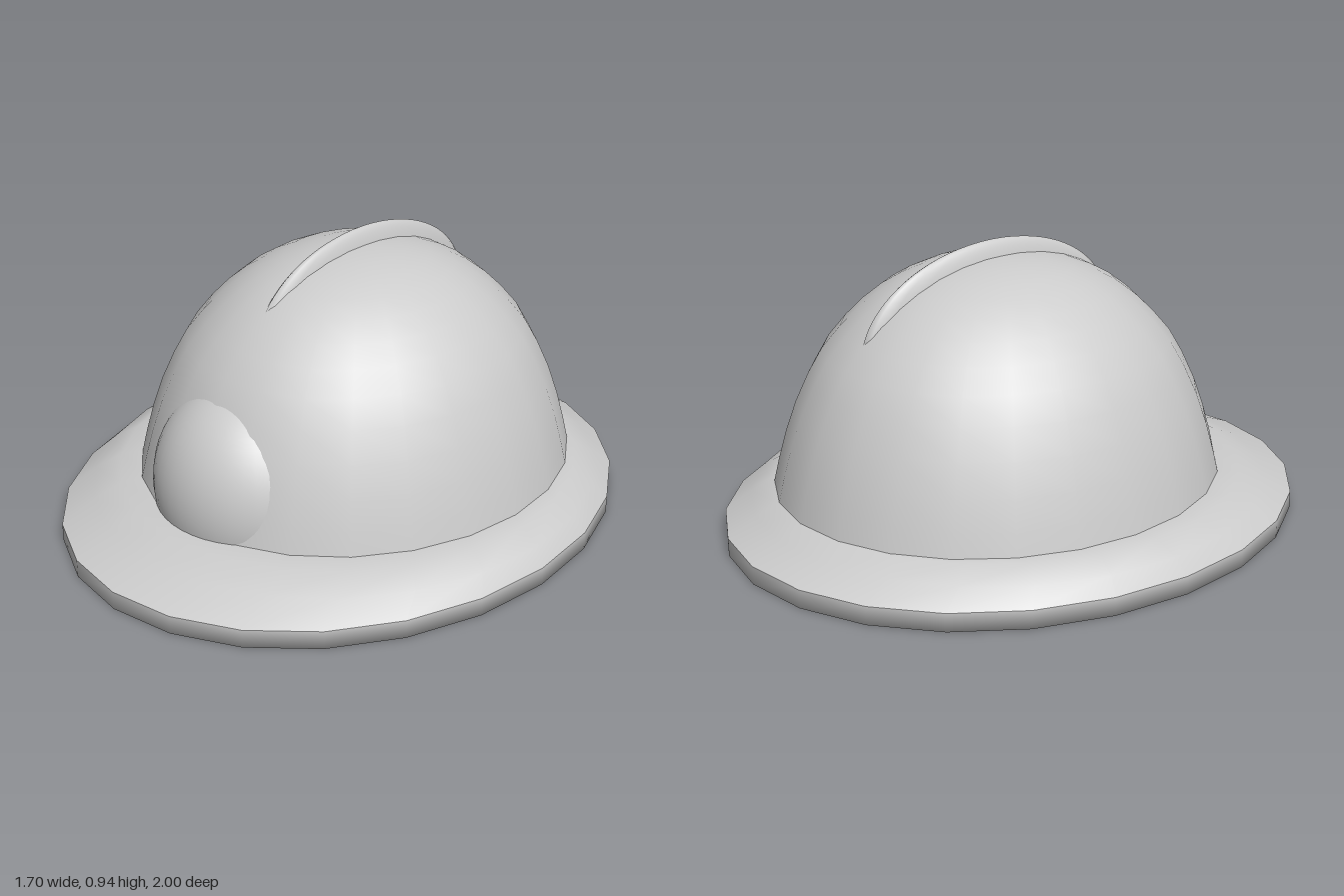
import * as THREE from 'three';
import { toCreasedNormals } from 'three/addons/utils/BufferGeometryUtils.js';

const SIDES = 24;
const material = new THREE.MeshStandardMaterial({ color: 0xcccccc, side: THREE.DoubleSide });

function addMesh(group, name, geometry) {
  const mesh = new THREE.Mesh(geometry, material);
  mesh.name = name;
  group.add(mesh);
  return mesh;
}

// Skin a stack of elliptical rings, each given as [radiusX, radiusZ, centreZ, y]
function loft(rings, crease) {
  const positions = [], index = [];
  for (const [rx, rz, cz, y] of rings) {
    for (let i = 0; i < SIDES; i++) {
      const a = (i / SIDES) * Math.PI * 2;
      positions.push(Math.sin(a) * rx, y, cz + Math.cos(a) * rz);
    }
  }
  for (let r = 0; r < rings.length - 1; r++) {
    for (let i = 0; i < SIDES; i++) {
      const j = (i + 1) % SIDES;
      const a = r * SIDES + i, b = r * SIDES + j;
      index.push(a, b, b + SIDES, a, b + SIDES, a + SIDES);
    }
  }
  const g = new THREE.BufferGeometry();
  g.setAttribute('position', new THREE.Float32BufferAttribute(positions, 3));
  g.setIndex(index);
  return toCreasedNormals(g, crease);
}

export function createModel() {
  const group = new THREE.Group();
  group.name = 'helmet';

  // Oval crown, slightly longer than wide and set back from the brim centre
  const profile = [
    [0.69, 0.15], [0.672, 0.23], [0.647, 0.325], [0.614, 0.425], [0.573, 0.52], [0.53, 0.6],
    [0.475, 0.67], [0.42, 0.728], [0.36, 0.778], [0.3, 0.815], [0.23, 0.847],
    [0.15, 0.87], [0.07, 0.882], [0, 0.885],
  ].map(([x, y]) => new THREE.Vector2(x, y));
  const crown = addMesh(group, 'crown', new THREE.LatheGeometry(profile, SIDES));
  crown.scale.z = 1.105;
  crown.position.z = -0.065;

  // Head opening: flat ceiling and sloping inner wall
  const opening = [0.6, 0.655, -0.04, 0.055];
  addMesh(group, 'headOpening', loft([
    [0.001, 0.001, -0.05, 0.39],
    [0.45, 0.49, -0.05, 0.39],
    opening,
  ], 0.6));

  // Brim: underside rounding softly into the edge band, then the sloping top
  const edge = [0.85, 1, 0, 0.06];
  addMesh(group, 'brimUnderside', loft([opening, [0.85, 1, 0, 0], edge], 2));
  addMesh(group, 'brimTop', loft([
    edge,
    [0.81, 0.883, -0.017, 0.112],
    [0.74, 0.8, -0.03, 0.152],
    [0.68, 0.75, -0.065, 0.156],
  ], 0.6));

  // Thin crest along the top
  const crest = addMesh(group, 'crest',
    new THREE.SphereGeometry(1, 24, 20, 0, Math.PI * 2, 0, Math.PI / 2));
  crest.scale.set(0.054, 0.3, 0.49);
  crest.position.set(0, 0.635, -0.1);
  crest.rotation.x = -0.04;

  // Rounded front badge plate, open at the back and bottom
  const badge = addMesh(group, 'frontBadge',
    new THREE.SphereGeometry(1, 28, 20, -0.45, Math.PI + 0.9, 0, 2.16));
  badge.scale.set(0.322, 0.35, 0.295);
  badge.position.set(0, 0.215, 0.432);

  return group;
}
